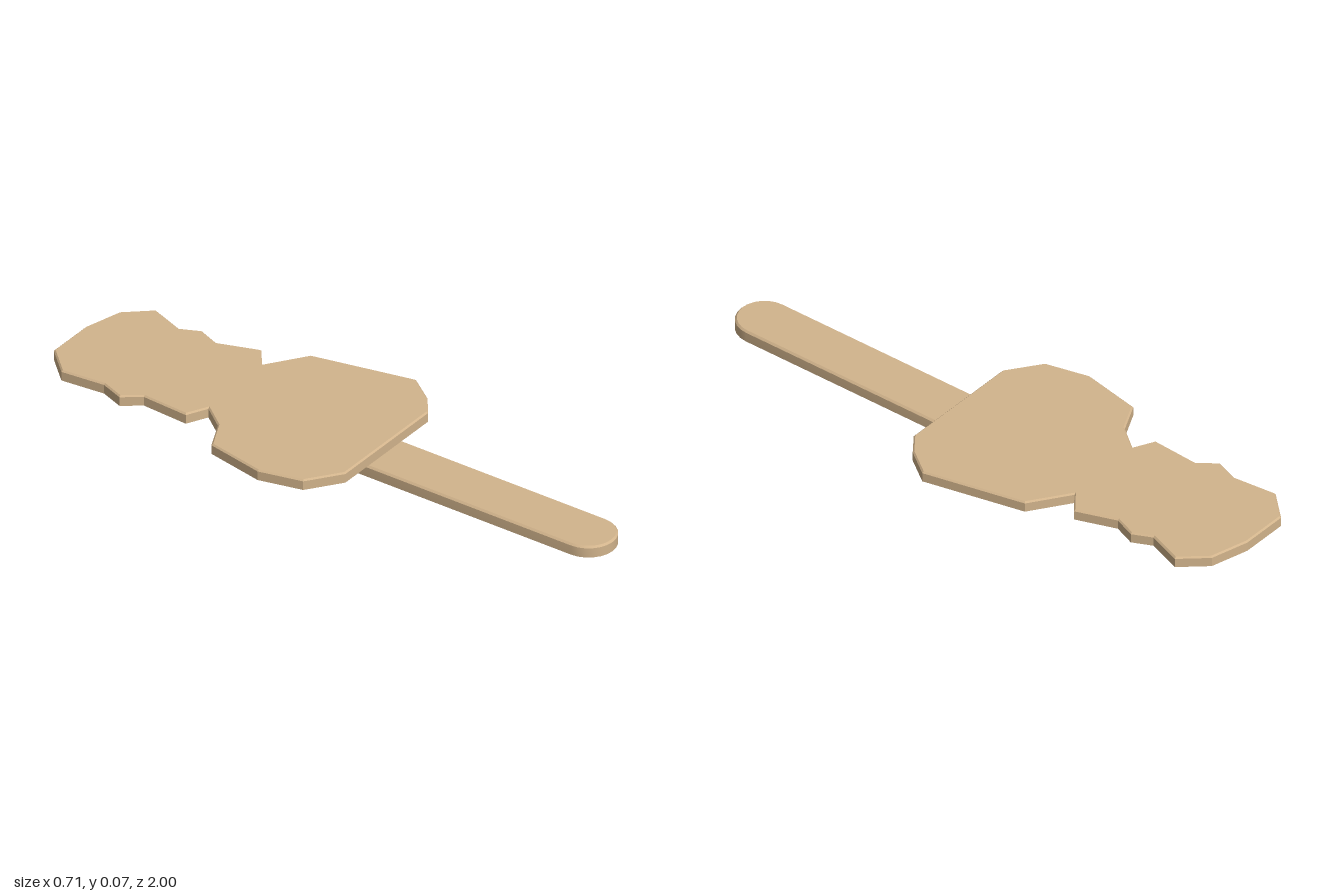
import * as THREE from 'three';
import { toCreasedNormals } from 'three/addons/utils/BufferGeometryUtils.js';

// Flat plate standing on height y, bevelled on its upper edge only
function plate(name, shape, y, height, bevel, bevelHeight, material, crease) {
  const geo = new THREE.ExtrudeGeometry(shape, {
    depth: height - bevelHeight, curveSegments: 6, bevelEnabled: true, bevelSegments: 1,
    bevelSize: bevel, bevelOffset: -bevel, bevelThickness: bevelHeight,
  });
  // Flatten the lower bevel into the underside
  const p = geo.attributes.position;
  for (let i = 0; i < p.count; i++) p.setZ(i, Math.max(0, p.getZ(i)));
  geo.rotateX(-Math.PI / 2);
  geo.translate(0, y, 0);
  geo.computeVertexNormals();
  const mesh = new THREE.Mesh(toCreasedNormals(geo, crease), material);
  mesh.name = name;
  return mesh;
}

export function createModel() {
  const group = new THREE.Group();
  group.name = 'flatSilhouetteOnStick';
  const wood = new THREE.MeshStandardMaterial({ color: 0xd2b48c });

  // Silhouette outline as [x, z], starting at the far end
  const outline = [
    [-0.155, -1], [0.01, -1], [0.14, -0.965], [0.215, -0.88], [0.17, -0.76], [0.2, -0.695],
    [0.17, -0.62], [0.217, -0.485], [0.15, -0.433], [0.28, -0.343], [0.355, 0], [0.29, 0.09],
    [0.223, 0.14], [-0.21, 0.14], [-0.32, 0.06], [-0.355, -0.087], [-0.315, -0.29],
    [-0.212, -0.34], [-0.15, -0.42], [-0.22, -0.455], [-0.21, -0.62], [-0.255, -0.68],
    [-0.225, -0.76], [-0.24, -0.91],
  ];
  const boardShape = new THREE.Shape(outline.map(([x, z]) => new THREE.Vector2(x, -z)));
  group.add(plate('board', boardShape, 0.039, 0.036, 0.005, 0.005, wood, 0.1));

  // Stick with rounded ends
  const cx = -0.0015, r = 0.0915;
  const stickShape = new THREE.Shape();
  stickShape.absarc(cx, -0.907, r, Math.PI, Math.PI * 2, false);
  stickShape.absarc(cx, 0.008, r, 0, Math.PI, false);
  group.add(plate('stick', stickShape, 0, 0.039, 0.006, 0.006, wood, 0.6));

  return group;
}
